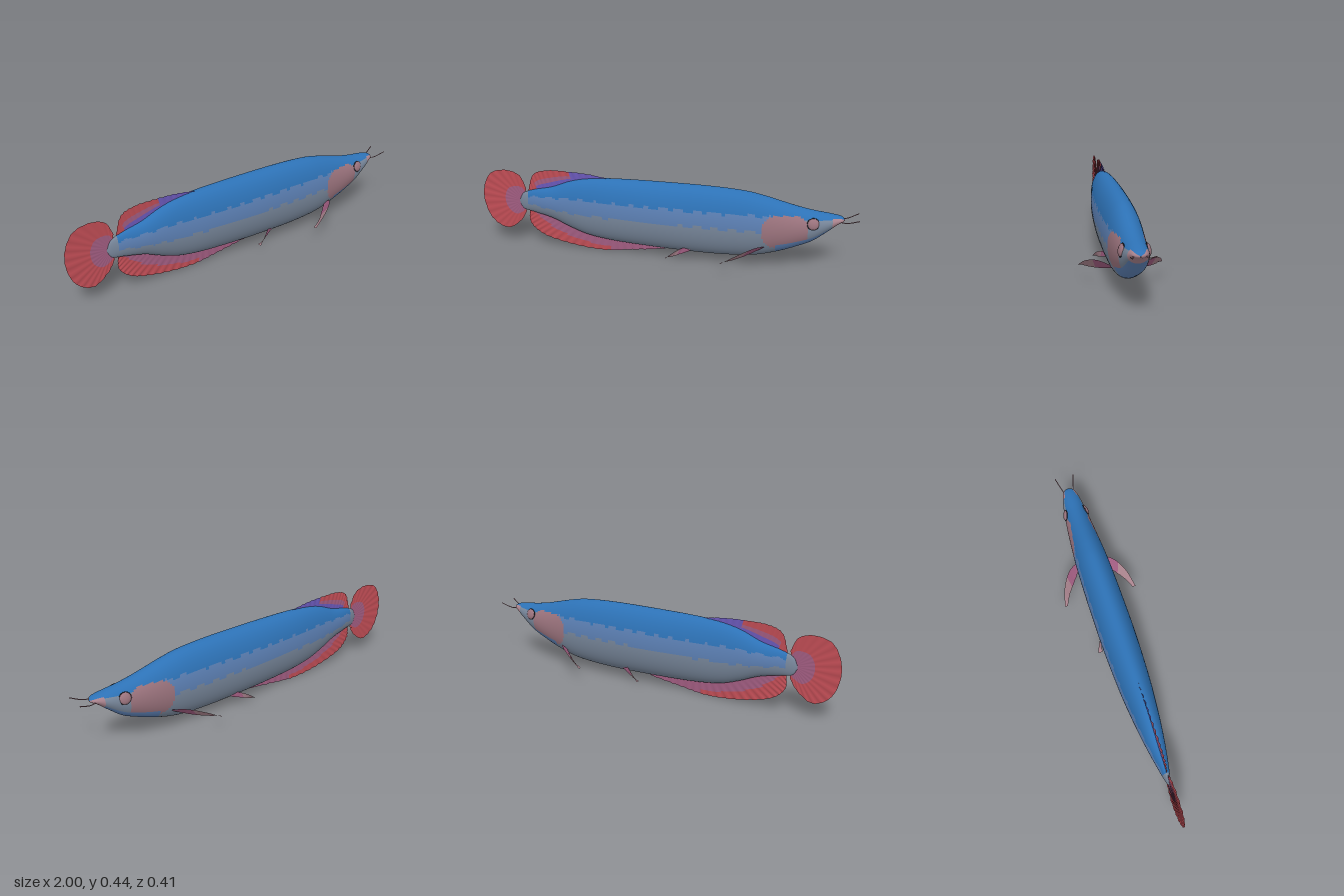
import * as THREE from 'three';

const palette = {
  backBlue: 0x2d72b6, flankBlue: 0x5c80b4, bellyGrey: 0x78879b, gillPink: 0x9c747e,
  lipPink: 0xa8828c, finRed: 0xbe4c54, finMauve: 0xa05c80, finViolet: 0x6a58b8, dark: 0x24262e,
};
const names = Object.keys(palette);
const id = Object.fromEntries(names.map((n, i) => [n, i]));

// Grid surface: point(u, v) gives positions, colour(u, v, p) picks a material for each cell
function surface(name, mats, nu, nv, point, colour, wrap = false) {
  const pos = [], buckets = names.map(() => []);
  const cols = wrap ? nv : nv + 1;
  for (let i = 0; i <= nu; i++)
    for (let j = 0; j < cols; j++) pos.push(...point(i / nu, j / nv).toArray());
  for (let i = 0; i < nu; i++)
    for (let j = 0; j < nv; j++) {
      const k = (j + 1) % cols;
      const a = i * cols + j, b = i * cols + k, c = a + cols, d = b + cols;
      const u = (i + 0.5) / nu, v = (j + 0.5) / nv;
      buckets[id[colour(u, v, point(u, v))]].push(a, b, c, b, d, c);
    }
  const geo = new THREE.BufferGeometry();
  geo.setAttribute('position', new THREE.Float32BufferAttribute(pos, 3));
  geo.setIndex(buckets.flat());
  let start = 0;
  buckets.forEach((b, i) => {
    if (b.length) geo.addGroup(start, b.length, i);
    start += b.length;
  });
  geo.computeVertexNormals();
  const mesh = new THREE.Mesh(geo, mats);
  mesh.name = name;
  return mesh;
}

const spline = pts => new THREE.CatmullRomCurve3(
  pts.map(p => new THREE.Vector3(p[0], p[1], p[2] || 0)), false, 'catmullrom', 0.5);

// Fin: a sheet between a root curve and an outer edge, rippled by its rays
function fin(name, mats, root, edge, rays, ripple, colour) {
  const r = spline(root), e = spline(edge);
  return surface(name, mats, rays * 4, 12, (u, v) => {
    const p = r.getPoint(u).lerp(e.getPoint(u), v);
    p.z += ripple * v * Math.sin(u * rays * Math.PI * 2);
    return p;
  }, colour);
}

// Body stations: x, top, bottom, half width
const stations = [
  [-0.79, 0.255, 0.24, 0.001], [-0.765, 0.298, 0.205, 0.012], [-0.7, 0.322, 0.19, 0.027],
  [-0.6, 0.345, 0.165, 0.045], [-0.5, 0.383, 0.122, 0.059], [-0.4, 0.405, 0.088, 0.07],
  [-0.25, 0.416, 0.066, 0.083], [0, 0.418, 0.052, 0.093], [0.25, 0.415, 0.046, 0.093],
  [0.42, 0.405, 0.052, 0.09], [0.52, 0.388, 0.066, 0.086], [0.62, 0.363, 0.096, 0.079],
  [0.7, 0.343, 0.128, 0.072], [0.78, 0.328, 0.167, 0.063], [0.85, 0.319, 0.224, 0.052],
  [0.9, 0.311, 0.268, 0.037], [0.92, 0.304, 0.28, 0.025], [0.932, 0.293, 0.288, 0.001],
];
const heights = spline(stations.map(s => [s[0], s[1], s[2]]));
const widths = spline(stations.map(s => [s[0], s[3], 0]));

function bodyPoint(u, v) {
  const h = heights.getPoint(u), w = widths.getPoint(u).y, a = v * Math.PI * 2;
  return new THREE.Vector3(h.x, (h.y + h.z) / 2 + Math.cos(a) * (h.y - h.z) / 2, Math.sin(a) * w);
}

function bodyColour(u, v, p) {
  const { x, y } = p, level = (1 + Math.cos(v * Math.PI * 2)) / 2;
  const scallop = 0.005 * Math.sin(x * 70);
  if (x > 0.875 && level < 0.85) return 'lipPink';
  if (x > 0.6 && level < 0.2) return 'flankBlue';
  // Gill cover
  if (((x - 0.645) / 0.112) ** 2 + ((y - 0.222) / 0.095) ** 4 < 1 && y < 0.31) return 'gillPink';
  if (x < -0.735) return 'bellyGrey';
  if (x > 0.7) return level > 0.8 ? 'backBlue' : 'bellyGrey';
  // Back, flank and belly bands, narrowing to the tail
  const drop = 0.035 * Math.max(0, (-x - 0.5) / 0.25);
  if (y > 0.304 + scallop - drop * 0.6) return 'backBlue';
  return y > 0.222 + scallop + drop * 0.6 ? 'flankBlue' : 'bellyGrey';
}

export function createModel() {
  const model = new THREE.Group();
  model.name = 'fish';
  const mats = names.map(name => {
    const m = new THREE.MeshStandardMaterial({ color: palette[name], side: THREE.DoubleSide });
    m.name = name;
    return m;
  });
  const mat = n => mats[id[n]];

  model.add(surface('body', mats, 170, 72, bodyPoint, bodyColour, true));

  // Round tail fin
  model.add(fin('tailFin', mats,
    [[-0.76, 0.285], [-0.778, 0.265], [-0.785, 0.25], [-0.778, 0.235], [-0.76, 0.215]],
    [[-0.75, 0.325], [-0.785, 0.395], [-0.86, 0.42], [-0.945, 0.4], [-0.99, 0.33], [-1, 0.245],
      [-0.975, 0.155], [-0.925, 0.1], [-0.86, 0.085], [-0.79, 0.135], [-0.755, 0.19]],
    18, 0.002, (u, v) => v < 0.4 ? 'finMauve' : 'finRed'));

  // Dorsal fin
  model.add(fin('dorsalFin', mats,
    [[-0.29, 0.405], [-0.4, 0.395], [-0.5, 0.375], [-0.6, 0.335], [-0.67, 0.315], [-0.73, 0.3]],
    [[-0.29, 0.414], [-0.4, 0.43], [-0.52, 0.436], [-0.63, 0.434], [-0.705, 0.405], [-0.738, 0.315]],
    16, 0.003, (u, v) => {
      if (u < 0.38) return 'finViolet';
      return v > 0.55 || u > 0.85 ? 'finRed' : v > 0.3 ? 'finMauve' : 'finViolet';
    }));

  // Anal fin
  model.add(fin('analFin', mats,
    [[0.02, 0.06], [-0.2, 0.07], [-0.35, 0.085], [-0.5, 0.13], [-0.62, 0.18], [-0.75, 0.22]],
    [[0.02, 0.042], [-0.16, 0.018], [-0.32, 0.001], [-0.5, 0.018], [-0.66, 0.06], [-0.735, 0.125],
      [-0.738, 0.2]],
    22, 0.003, (u, v) => v > 0.88 - 0.6 * u ? (u > 0.3 ? 'finRed' : 'finMauve') : 'finMauve'));

  // Paired parts, mirrored across the midline
  for (const s of [1, -1]) {
    const side = s > 0 ? 'Front' : 'Back';
    const flip = pts => pts.map(([x, y, z]) => [x, y, z * s]);
    const pairedColour = u => u < 0.45 ? 'finMauve' : 'lipPink';

    model.add(fin('pectoralFin' + side, mats,
      flip([[0.55, 0.14, 0.075], [0.505, 0.152, 0.13], [0.43, 0.13, 0.178], [0.34, 0.083, 0.207]]),
      flip([[0.525, 0.118, 0.065], [0.46, 0.1, 0.115], [0.4, 0.09, 0.16], [0.34, 0.082, 0.19]]),
      6, 0.001, pairedColour));
    model.add(fin('pelvicFin' + side, mats,
      flip([[0.17, 0.072, 0.045], [0.13, 0.083, 0.056], [0.08, 0.065, 0.09], [0.04, 0.034, 0.107]]),
      flip([[0.15, 0.058, 0.045], [0.11, 0.048, 0.064], [0.07, 0.037, 0.08], [0.04, 0.033, 0.083]]),
      5, 0.001, pairedColour));

    // Eye with a dark rim
    const eye = new THREE.Group();
    eye.name = 'eye' + side;
    const ball = new THREE.Mesh(new THREE.SphereGeometry(0.029, 24, 16), mat('gillPink'));
    ball.name = 'eyeball';
    ball.scale.z = 0.45;
    const rim = new THREE.Mesh(new THREE.TorusGeometry(0.029, 0.0025, 8, 32), mat('dark'));
    rim.name = 'eyeRim';
    eye.add(ball, rim);
    eye.position.set(0.78, 0.277, s * 0.057);
    eye.rotation.set(-0.25 * s, 0.15 * s, 0);
    model.add(eye);

    // Barbel at the tip of the jaw
    const path = spline(flip([[0.905, 0.287, 0.025], [0.945, 0.288, 0.035], [1, 0.31, 0.052]]));
    const barbel = new THREE.Mesh(new THREE.TubeGeometry(path, 12, 0.0025, 6), mat('gillPink'));
    barbel.name = 'barbel' + side;
    model.add(barbel);
  }
  return model;
}
